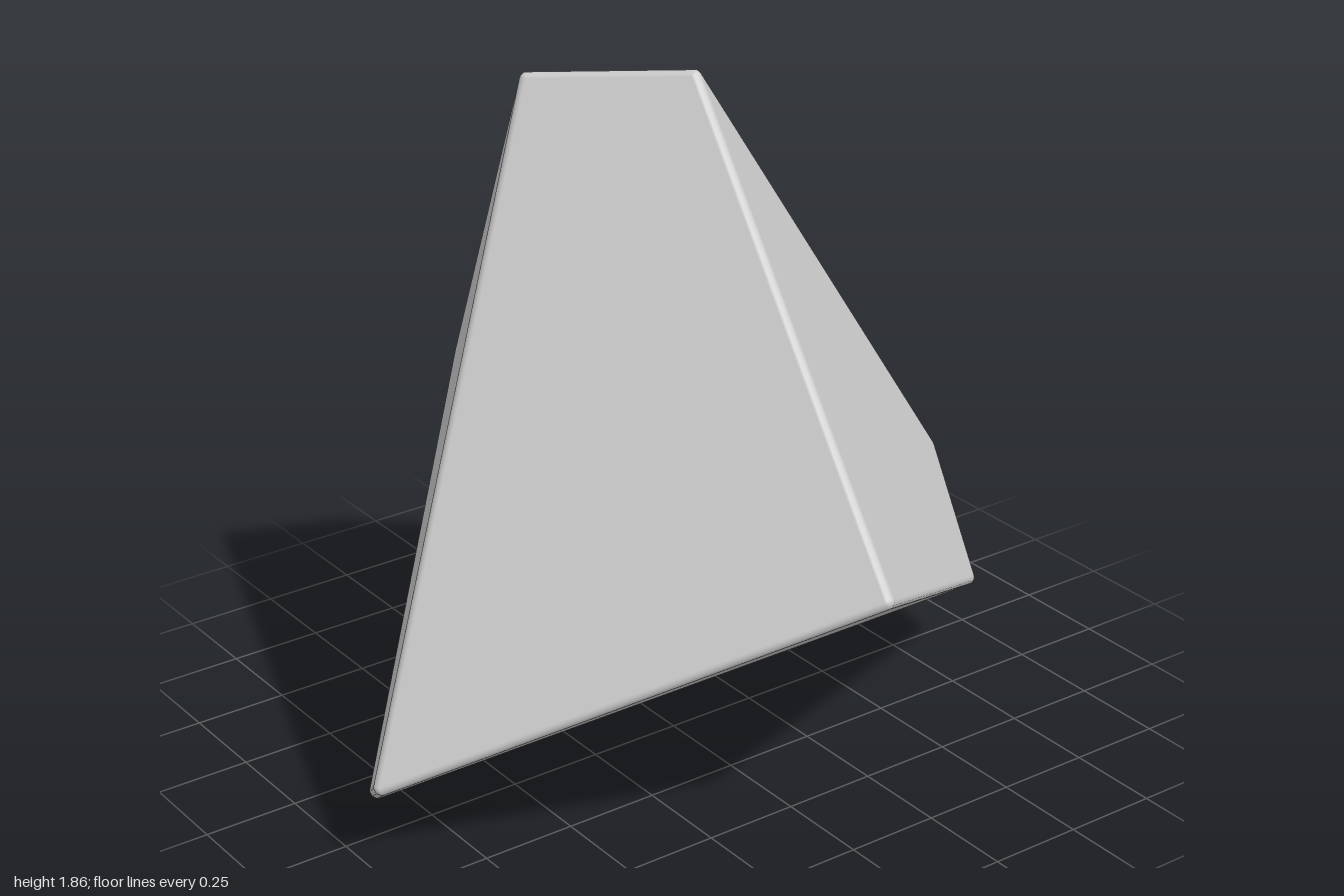
import * as THREE from 'three';

const RADIUS = 0.02;        // edge rounding
const STEPS = 4;            // segments across a rounded edge
const APEX = 0.905;         // half length along the x axis
const RING = 1.071;         // distance of the zigzag corners from that axis
const TWIST = THREE.MathUtils.degToRad(14.5);
const CENTRE = new THREE.Vector3(0, 0.771, 0.052);

// Corners and faces of a twisted six-sided trapezohedron lying along x
function solid() {
  // zigzag offset that keeps every four-sided face flat
  const k = 2 * Math.cos(Math.PI / 3 - TWIST);
  const zig = APEX * (k - 1) / (k + 1);
  const at = (x, a) => new THREE.Vector3(x, RING * Math.cos(a), RING * Math.sin(a)).add(CENTRE);
  const corners = [
    new THREE.Vector3(APEX, 0, 0).add(CENTRE),
    new THREE.Vector3(-APEX, 0, 0).add(CENTRE),
  ];
  const faces = [];
  for (let i = 0; i < 3; i++) {
    const a = i * Math.PI * 2 / 3;
    corners.push(at(zig, a), at(-zig, a + TWIST));
    const p = 2 + 2 * i, q = 2 + 2 * ((i + 1) % 3);
    faces.push([0, p, p + 1, q], [1, p + 1, q, q + 1]);
  }
  return { corners, faces };
}

function roundedSolid({ corners, faces }) {
  const positions = [], normals = [];
  const normalOf = f => {
    const [a, b, , d] = f.map(i => corners[i]);
    const n = b.clone().sub(a).cross(d.clone().sub(a)).normalize();
    return n.dot(a.clone().sub(CENTRE)) < 0 ? n.negate() : n;
  };
  const faceNormals = faces.map(normalOf);

  // A point is a corner pushed out along its normal
  const point = (corner, n) => ({ p: corners[corner].clone().addScaledVector(n, RADIUS), n });
  const triangle = (a, b, c) => {
    const g = b.p.clone().sub(a.p).cross(c.p.clone().sub(a.p));
    const outward = g.dot(a.n.clone().add(b.n).add(c.n)) > 0;
    for (const v of outward ? [a, b, c] : [a, c, b]) {
      positions.push(...v.p.toArray());
      normals.push(...v.n.toArray());
    }
  };
  const quad = (a, b, c, d) => { triangle(a, b, c); triangle(a, c, d); };

  // Flat faces
  faces.forEach((f, i) => quad(...f.map(c => point(c, faceNormals[i]))));

  // Rounded edges between neighbouring faces
  for (let i = 0; i < faces.length; i++) {
    for (let j = i + 1; j < faces.length; j++) {
      const shared = faces[i].filter(c => faces[j].includes(c));
      if (shared.length !== 2) continue;
      const [a, b] = shared;
      const blend = s => faceNormals[i].clone().lerp(faceNormals[j], s / STEPS).normalize();
      for (let s = 0; s < STEPS; s++) {
        const n0 = blend(s), n1 = blend(s + 1);
        quad(point(a, n0), point(b, n0), point(b, n1), point(a, n1));
      }
    }
  }

  // Rounded corners where three faces meet
  corners.forEach((_, c) => {
    const [u, v, w] = faceNormals.filter((_, i) => faces[i].includes(c));
    const at = (i, j) => point(c, new THREE.Vector3()
      .addScaledVector(u, STEPS - i - j).addScaledVector(v, i).addScaledVector(w, j).normalize());
    for (let i = 0; i < STEPS; i++) {
      for (let j = 0; j < STEPS - i; j++) {
        triangle(at(i, j), at(i + 1, j), at(i, j + 1));
        if (i + j < STEPS - 1) triangle(at(i + 1, j), at(i + 1, j + 1), at(i, j + 1));
      }
    }
  });

  const geometry = new THREE.BufferGeometry();
  geometry.setAttribute('position', new THREE.Float32BufferAttribute(positions, 3));
  geometry.setAttribute('normal', new THREE.Float32BufferAttribute(normals, 3));
  return geometry;
}

export function createModel() {
  const group = new THREE.Group();
  group.name = 'roundedTrapezohedron';
  const body = new THREE.Mesh(
    roundedSolid(solid()),
    new THREE.MeshStandardMaterial({ color: 0xcccccc }),
  );
  body.name = 'body';
  group.add(body);
  return group;
}
